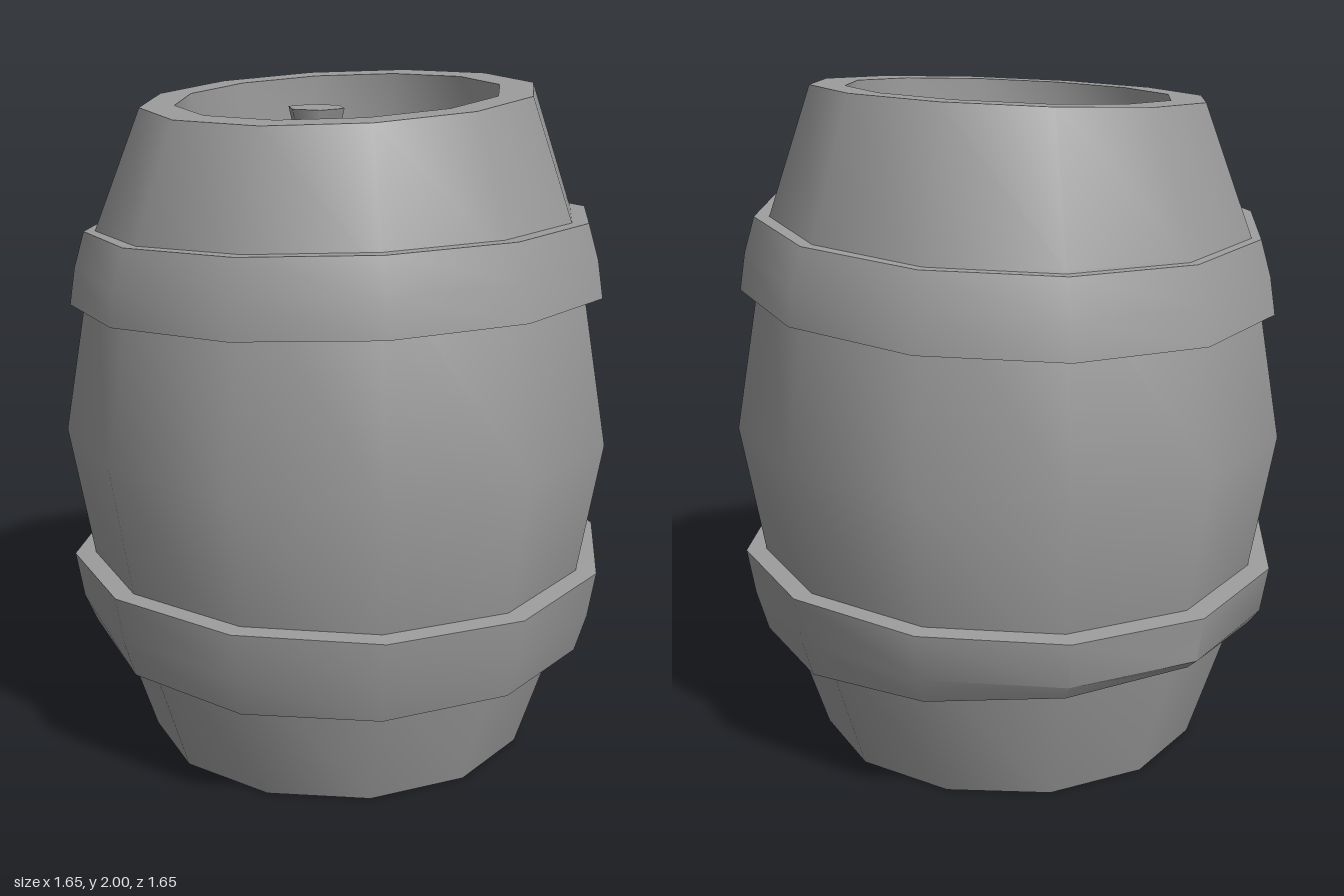
import * as THREE from 'three';
import { toCreasedNormals } from 'three/addons/utils/BufferGeometryUtils.js';

const material = new THREE.MeshStandardMaterial({ color: 0x9d9d9d });
const SIDES = 12;

// Twelve-sided turned part; shift(x, y, z) returns a height offset per vertex
function turned(name, profile, shift = () => 0) {
  const geometry = new THREE.LatheGeometry(profile.map(([r, y]) => new THREE.Vector2(r, y)), SIDES);
  const p = geometry.attributes.position;
  for (let i = 0; i < p.count; i++) {
    p.setY(i, p.getY(i) + shift(p.getX(i), p.getY(i), p.getZ(i)));
  }
  const mesh = new THREE.Mesh(toCreasedNormals(geometry, THREE.MathUtils.degToRad(38)), material);
  mesh.name = name;
  return mesh;
}

export function createModel() {
  const barrel = new THREE.Group();
  barrel.name = 'barrel';

  // Bulging body with a rim that slopes down towards the front
  barrel.add(turned('body', [
    [0, 0], [0.585, 0], [0.735, 0.46], [0.826, 0.99], [0.724, 1.58],
    [0.582, 1.968], [0.48, 1.968], [0.48, 1.81],
  ], (x, y, z) => (y > 1.9 ? -0.055 * z : 0)));

  // Sunken level lid
  barrel.add(turned('lid', [[0.48, 1.81], [0, 1.81]]));

  // Crooked hoops, each closed back into the body
  barrel.add(turned('upperHoop', [
    [0.72, 1.39], [0.802, 1.39], [0.785, 1.5], [0.754, 1.605], [0.68, 1.605],
  ], (x) => 0.049 * x));
  barrel.add(turned('lowerHoop', [
    [0.66, 0.347], [0.762, 0.347], [0.797, 0.46], [0.82, 0.6], [0.72, 0.6],
  ], (x, y) => (y < 0.4 ? 0.035 * x * x - 0.042 * x : 0.01 * x - 0.034 * x * x)));

  // Tapered six-sided plug on the lid, shaded smoothly around its side
  const plugGeometry = new THREE.CylinderGeometry(0.092, 0.067, 0.1, 6);
  const plug = new THREE.Mesh(plugGeometry, material);
  plug.name = 'plug';
  plug.position.set(-0.21, 1.86, -0.08);
  barrel.add(plug);

  return barrel;
}
